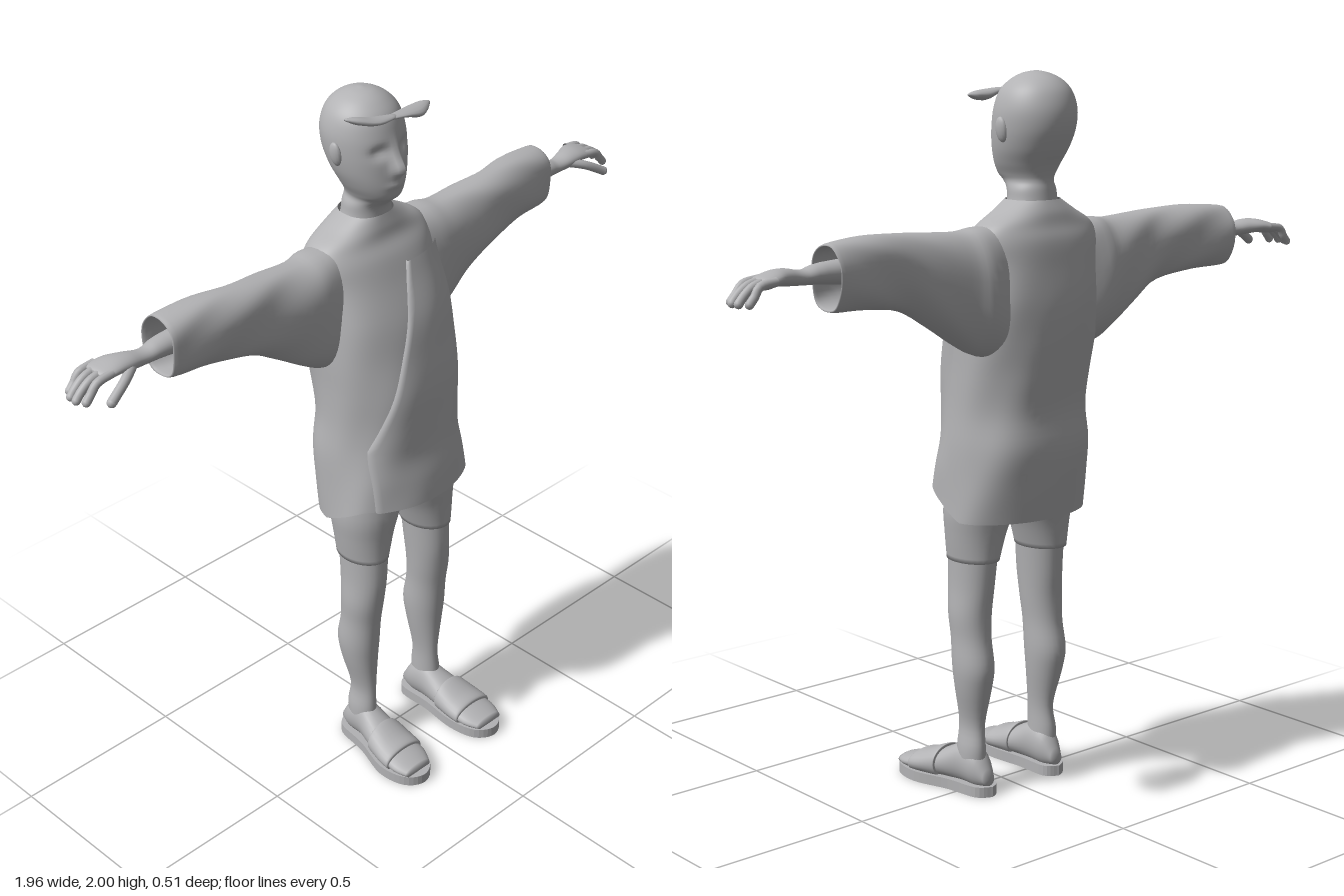
import * as THREE from 'three';

const clay = new THREE.MeshStandardMaterial({ color: 0xb2b2b4, side: THREE.DoubleSide });
clay.name = 'clay grey';

const clamp = THREE.MathUtils.clamp;

// Smooth interpolation of cross-section rows at parameter t (row index)
function ringAt(rings, t) {
  const i = Math.min(Math.floor(t), rings.length - 2), f = t - i;
  const r = k => rings[clamp(k, 0, rings.length - 1)];
  return rings[i].map((_, c) => {
    const a = r(i - 1)[c], b = r(i)[c], d = r(i + 1)[c], e = r(i + 2)[c];
    return b + 0.5 * f * (d - a + f * (2 * a - 5 * b + 4 * d - e + f * (3 * (b - d) + e - a)));
  });
}

// Point on a section [w, u0, u1, v0, v1]; axis y: u=x v=z, axis x: u=z v=y, axis z: u=y v=x
const order = { y: [0, 2, 1], x: [1, 2, 0], z: [2, 0, 1] };
function ringPoint([w, u0, u1, v0, v1], a, axis, e = 1) {
  const pw = c => Math.sign(c) * Math.abs(c) ** e;
  const u = (u0 + u1) / 2 + (u1 - u0) / 2 * pw(Math.cos(a));
  const v = (v0 + v1) / 2 + (v1 - v0) / 2 * pw(Math.sin(a));
  if (axis === 'y') return new THREE.Vector3(u, w, v);
  if (axis === 'x') return new THREE.Vector3(w, v, u);
  return new THREE.Vector3(v, u, w);
}

// Grid of points (rows x cols) to a smooth surface
function surface(name, rows, closed, flip) {
  const n = rows[0].length, idx = [];
  for (let i = 0; i < rows.length - 1; i++) {
    for (let j = 0; j < (closed ? n : n - 1); j++) {
      const k = (j + 1) % n, a = i * n + j, b = i * n + k, c = a + n, d = b + n;
      if (flip) idx.push(a, b, c, b, d, c); else idx.push(a, c, b, b, c, d);
    }
  }
  const g = new THREE.BufferGeometry().setFromPoints(rows.flat());
  g.setIndex(idx);
  g.computeVertexNormals();
  return named(name, g);
}

function named(name, g) {
  const m = new THREE.Mesh(g, clay);
  m.name = name;
  return m;
}

// Loft through sections; s mirrors x, cap closes both ends, warp bends points
function loft(name, rings, axis, { s = 1, n = 28, sub = 4, cap = true, e = 1, warp } = {}) {
  const rows = [], steps = (rings.length - 1) * sub;
  const row = r => Array.from({ length: n }, (_, j) => {
    const a = j / n * Math.PI * 2, p = ringPoint(r, a, axis, e);
    if (warp) warp(p, a);
    p.x *= s;
    return p;
  });
  const point = ([w, a, b, c, d]) => [w, (a + b) / 2, (a + b) / 2, (c + d) / 2, (c + d) / 2];
  if (cap) rows.push(row(point(rings[0])));
  for (let i = 0; i <= steps; i++) rows.push(row(ringAt(rings, i / sub)));
  if (cap) rows.push(row(point(rings[rings.length - 1])));
  return surface(name, rows, true, s < 0);
}

// Rounded finger along a path
function finger(name, pts, r, s) {
  const path = pts.map(p => new THREE.Vector3(p[0] * s, p[1], p[2]));
  const g = new THREE.Group();
  g.name = name;
  const tip = named(name + 'Tip', new THREE.SphereGeometry(r, 10, 8));
  tip.position.copy(path[path.length - 1]);
  g.add(named(name + 'Bone', new THREE.TubeGeometry(new THREE.CatmullRomCurve3(path), 10, r, 10)), tip);
  return g;
}

// Tunic sections, hem upward
const tunicRings = [
  [0.8, -0.22, 0.215, -0.195, 0.13], [0.9, -0.215, 0.212, -0.215, 0.122],
  [1.0, -0.21, 0.207, -0.23, 0.11], [1.1, -0.2, 0.2, -0.222, 0.107],
  [1.2, -0.2, 0.2, -0.235, 0.103], [1.3, -0.205, 0.203, -0.25, 0.083],
  [1.4, -0.205, 0.205, -0.256, 0.058], [1.5, -0.2, 0.2, -0.245, 0.013],
  [1.56, -0.2, 0.2, -0.235, -0.015], [1.6, -0.18, 0.18, -0.22, -0.04],
  [1.635, -0.12, 0.12, -0.21, -0.05], [1.665, -0.072, 0.072, -0.195, -0.06],
];
// Cloth folds, and a hem raised at the front
function drape(p, a) {
  const k = 0.005 * clamp((1.6 - p.y) / 0.2, 0, 1);
  const f = 1 + k * 4 * Math.sin(5 * a + p.y * 4) * Math.cos(p.y * 9 + a);
  p.x *= f;
  p.z = (p.z + 0.07) * f - 0.07;
  p.y += clamp((p.z + 0.07) / 0.13, 0, 1) * 0.07 * clamp((1.05 - p.y) / 0.25, 0, 1);
}

function makeTunic() {
  const g = new THREE.Group();
  g.name = 'tunic';
  g.add(loft('tunicBody', tunicRings, 'y', { n: 64, sub: 5, cap: false, e: 0.85, warp: drape }));
  // Overlapping front flap with a diagonal edge
  const rows = [];
  for (let i = 0; i <= 40; i++) {
    const r = ringAt(tunicRings, i / 40 * 7.6);
    const edge = r[0] < 1.05 ? -0.165 : THREE.MathUtils.lerp(-0.165, 0.03, (r[0] - 1.05) / 0.5);
    const start = Math.acos(Math.sign(edge) * Math.abs(edge / r[2]) ** (1 / 0.85));
    const cols = [];
    for (let j = 0; j <= 24; j++) {
      const a = THREE.MathUtils.lerp(0.2, start, j / 24);
      const p = ringPoint(r, a, 'y', 0.85);
      drape(p, a);
      const out = 0.009 * Math.min(1, j / 6);
      cols.push(p.add(new THREE.Vector3(out * Math.cos(a), 0, out * Math.sin(a))));
    }
    // the edge turns back to the body
    cols.push(cols[24].clone().add(new THREE.Vector3(0.002, 0, -0.012)));
    rows.push(cols);
  }
  g.add(surface('frontFlap', rows, false, false));
  // Wide sleeves with a turned-in cuff
  for (const s of [1, -1]) {
    g.add(loft(s > 0 ? 'leftSleeve' : 'rightSleeve', [
      [0.1, -0.2, -0.03, 1.24, 1.6], [0.2, -0.225, -0.03, 1.262, 1.603],
      [0.26, -0.212, -0.035, 1.293, 1.596], [0.35, -0.196, -0.045, 1.35, 1.6],
      [0.45, -0.19, -0.055, 1.405, 1.606], [0.57, -0.2, -0.065, 1.424, 1.61],
      [0.685, -0.215, -0.085, 1.43, 1.602], [0.688, -0.208, -0.092, 1.438, 1.594],
      [0.6, -0.19, -0.075, 1.44, 1.59],
    ], 'x', {
      s, n: 40, cap: false, e: 0.85,
      warp: (p, a) => { p.z += 0.005 * Math.sin(p.x * 28 + a * 2) * Math.sin(a * 2); },
    }));
  }
  return g;
}

function makeHead() {
  const g = new THREE.Group();
  g.name = 'head';
  const bump = (p, x, y, sx, sy) => Math.exp(-(((p.x - x) / sx) ** 2) - ((p.y - y) / sy) ** 2);
  g.add(loft('skullAndNeck', [
    [1.58, -0.1, 0.1, -0.2, -0.06], [1.65, -0.072, 0.072, -0.192, -0.062],
    [1.69, -0.066, 0.066, -0.188, -0.057], [1.712, -0.06, 0.06, -0.186, -0.035],
    [1.73, -0.066, 0.066, -0.19, -0.015], [1.76, -0.082, 0.082, -0.203, -0.009],
    [1.8, -0.098, 0.098, -0.226, -0.01], [1.85, -0.108, 0.108, -0.246, -0.014],
    [1.9, -0.109, 0.109, -0.25, -0.024], [1.945, -0.096, 0.096, -0.237, -0.04],
    [1.975, -0.07, 0.07, -0.212, -0.068], [1.993, -0.036, 0.036, -0.178, -0.1],
    [2.0, -0.005, 0.005, -0.145, -0.135],
  ], 'y', {
    n: 56, sub: 6,
    // nose, eye sockets and lips
    warp: p => {
      if (p.z < -0.08) return;
      p.z += 0.03 * bump(p, 0, 1.815, 0.016, 0.024) + 0.012 * bump(p, 0, 1.85, 0.012, 0.03)
        + 0.006 * bump(p, 0, 1.768, 0.025, 0.01)
        - 0.013 * (bump(p, 0.042, 1.862, 0.022, 0.016) + bump(p, -0.042, 1.862, 0.022, 0.016));
    },
  }));
  for (const s of [1, -1]) {
    const ear = named(s > 0 ? 'leftEar' : 'rightEar', new THREE.SphereGeometry(1, 14, 10));
    ear.scale.set(0.012, 0.034, 0.02);
    ear.position.set(s * 0.107, 1.85, -0.125);
    ear.rotation.z = -s * 0.15;
    g.add(ear);
  }
  // Two leaf-shaped brow ornaments
  g.add(loft('leftBrowLeaf', [
    [-0.01, -0.04, -0.018, 1.944, 1.954], [0.04, -0.05, -0.008, 1.938, 1.953],
    [0.09, -0.065, -0.006, 1.922, 1.95], [0.13, -0.065, -0.025, 1.925, 1.947],
    [0.155, -0.052, -0.045, 1.935, 1.941],
  ], 'x', { n: 14 }));
  g.add(loft('rightBrowLeaf', [
    [-0.01, -0.04, -0.018, 1.944, 1.954], [0.06, -0.058, -0.008, 1.946, 1.964],
    [0.11, -0.062, -0.025, 1.958, 1.978], [0.14, -0.058, -0.05, 1.974, 1.98],
  ], 'x', { s: -1, n: 14 }));
  return g;
}

function makeArm(s) {
  const g = new THREE.Group();
  g.name = s > 0 ? 'leftArm' : 'rightArm';
  g.add(loft('forearmAndPalm', [
    [0.5, -0.175, -0.09, 1.48, 1.565], [0.7, -0.165, -0.1, 1.5, 1.555],
    [0.76, -0.157, -0.105, 1.503, 1.542], [0.81, -0.168, -0.1, 1.506, 1.55],
    [0.85, -0.185, -0.1, 1.51, 1.55], [0.89, -0.195, -0.104, 1.506, 1.54],
    [0.902, -0.188, -0.112, 1.51, 1.533],
  ], 'x', { s }));
  [0.955, 0.967, 0.965, 0.95].forEach((x, k) => {
    const z = -0.113 - 0.024 * k;
    g.add(finger('finger' + (k + 1), [[0.87, 1.528, z], [0.92, 1.519, z], [x - 0.015, 1.497, z], [x, 1.48, z]], 0.0115, s));
  });
  g.add(finger('thumb', [[0.8, 1.525, -0.12], [0.85, 1.51, -0.09], [0.91, 1.478, -0.072]], 0.013, s));
  return g;
}

function makeLeg(s) {
  const g = new THREE.Group();
  g.name = s > 0 ? 'leftLeg' : 'rightLeg';
  g.position.x = -0.008;
  g.add(loft('shortsLeg', [
    [0.675, 0.06, 0.189, -0.1, 0.068], [0.75, 0.035, 0.2, -0.108, 0.07],
    [0.83, 0.004, 0.207, -0.125, 0.075], [0.95, -0.01, 0.195, -0.15, 0.06],
  ], 'y', { s }));
  g.add(loft('bareLeg', [
    [0.08, 0.098, 0.165, -0.065, 0.035], [0.13, 0.1, 0.165, -0.066, 0.033],
    [0.2, 0.1, 0.157, -0.06, 0.03], [0.3, 0.087, 0.178, -0.083, 0.034],
    [0.37, 0.081, 0.187, -0.094, 0.04], [0.45, 0.081, 0.185, -0.08, 0.046],
    [0.52, 0.076, 0.188, -0.078, 0.056], [0.6, 0.07, 0.183, -0.085, 0.064],
    [0.7, 0.062, 0.183, -0.094, 0.064],
  ], 'y', { s }));
  g.add(loft('foot', [
    [-0.088, 0.03, 0.065, 0.11, 0.145], [-0.05, 0.018, 0.125, 0.092, 0.165],
    [0, 0.018, 0.14, 0.09, 0.17], [0.05, 0.018, 0.118, 0.085, 0.185],
    [0.12, 0.018, 0.084, 0.08, 0.203], [0.19, 0.018, 0.064, 0.083, 0.21],
    [0.235, 0.02, 0.05, 0.105, 0.195],
  ], 'z', { s }));
  // Sandal sole and strap
  const outline = [[0.125, 0.1], [0.09, 0.07], [0.088, -0.03], [0.077, -0.14], [0.095, -0.225],
    [0.148, -0.258], [0.2, -0.225], [0.215, -0.14], [0.182, -0.03], [0.165, 0.07]];
  const shape = new THREE.Shape(new THREE.SplineCurve(
    [...outline, outline[0]].map(([x, y]) => new THREE.Vector2(x * s, y))).getPoints(50));
  const sole = new THREE.ExtrudeGeometry(shape, { depth: 0.03, bevelEnabled: false });
  sole.rotateX(-Math.PI / 2);
  g.add(named('sandalSole', sole));
  g.add(loft('sandalStrap', [
    [0.075, 0.014, 0.108, 0.08, 0.198], [0.08, 0.012, 0.113, 0.076, 0.202],
    [0.13, 0.012, 0.092, 0.073, 0.213], [0.165, 0.012, 0.081, 0.074, 0.216],
    [0.17, 0.014, 0.072, 0.08, 0.21],
  ], 'z', { s }));
  return g;
}

export function createModel() {
  const model = new THREE.Group();
  model.name = 'standingFigure';
  model.add(makeHead(), makeTunic());
  for (const s of [1, -1]) model.add(makeArm(s), makeLeg(s));
  return model;
}
